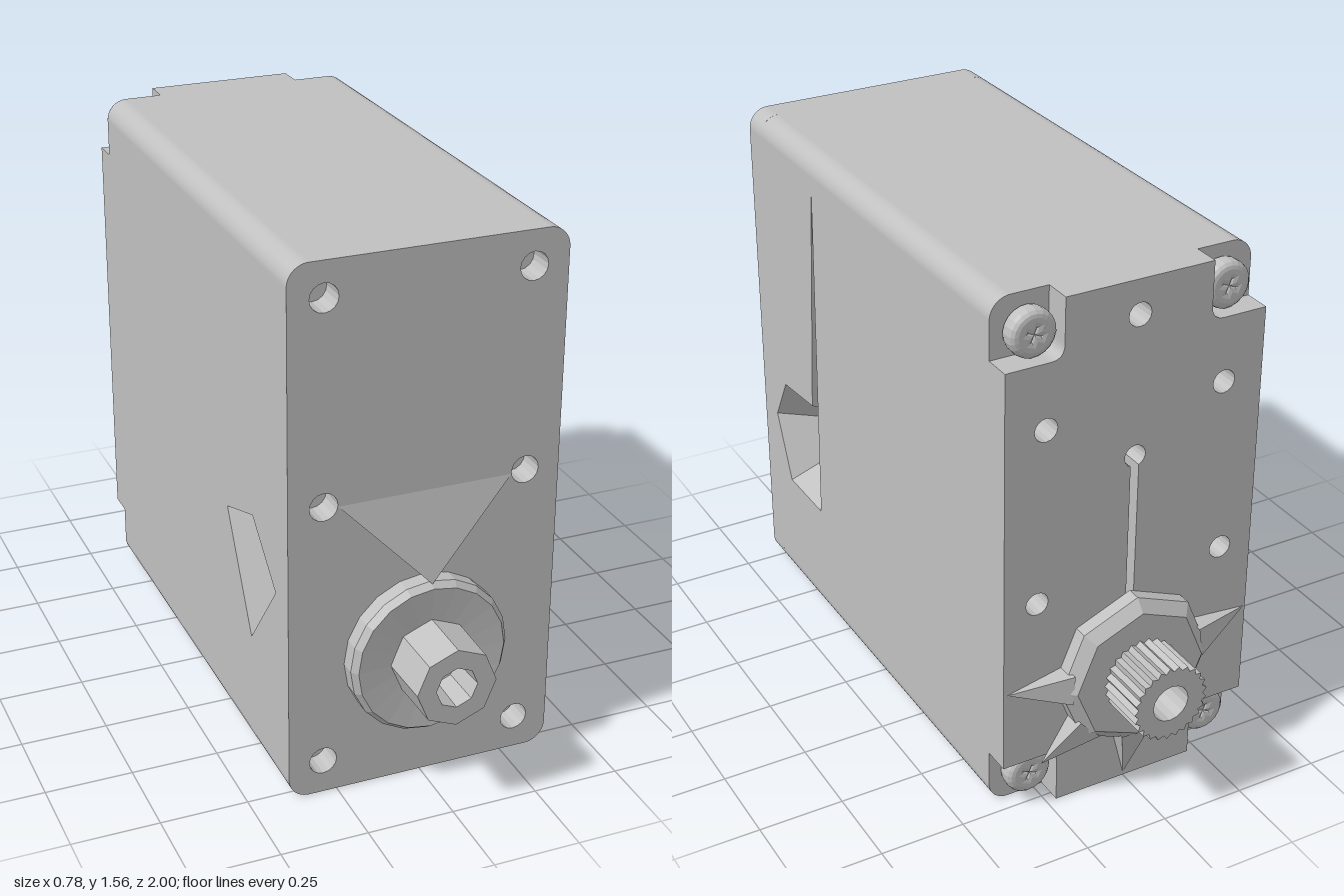
import * as THREE from 'three';

const W = 0.39, H = 1.56, R = 0.06, CORE = 0.70, FACE = 0.78, AXIS = 0.395;

export function createModel() {
  const root = new THREE.Group();
  const grey = new THREE.MeshStandardMaterial({ color: 0xc0c0c0, side: THREE.DoubleSide });
  grey.name = 'casingGrey';

  const add = (name, geo, parent = root) => {
    const mesh = new THREE.Mesh(geo, grey);
    mesh.name = name;
    parent.add(mesh);
    return mesh;
  };
  const faceted = (geo) => {
    const g = geo.index ? geo.toNonIndexed() : geo;
    g.computeVertexNormals();
    return g;
  };
  const poly = (pts) => new THREE.Shape(pts.map(([x, y]) => new THREE.Vector2(x, y)));
  const circle = (x, y, r) => new THREE.Path().absarc(x, y, r, 0, Math.PI * 2);
  const triangles = (tris) => {
    const g = new THREE.BufferGeometry();
    g.setAttribute('position', new THREE.Float32BufferAttribute(tris.flat(2), 3));
    g.computeVertexNormals();
    return g;
  };
  const extrude = (shape, depth, z, curveSegments = 8) => {
    const g = new THREE.ExtrudeGeometry(shape, { depth, bevelEnabled: false, curveSegments });
    return g.translate(0, 0, z);
  };
  // Lathe profile of [radius, z] turned about the shaft axis
  const turned = (profile, sides) => {
    const g = new THREE.LatheGeometry(profile.map(([r, z]) => new THREE.Vector2(r, z)), sides);
    return faceted(g.rotateX(Math.PI / 2).translate(0, AXIS, 0));
  };

  const roundedRect = () => {
    const s = new THREE.Shape();
    s.absarc(W - R, H - R, R, 0, Math.PI / 2);
    s.absarc(-W + R, H - R, R, Math.PI / 2, Math.PI);
    s.absarc(-W + R, R, R, Math.PI, Math.PI * 1.5);
    s.absarc(W - R, R, R, Math.PI * 1.5, Math.PI * 2);
    s.closePath();
    return s;
  };

  // Front slab with six screw holes
  const front = roundedRect();
  for (const x of [-0.29, 0.29]) for (const y of [0.1, 0.88, 1.46]) front.holes.push(circle(x, y, 0.04));
  add('frontCover', extrude(front, FACE - CORE, CORE));

  // End faces of the core, which also close the holes
  for (const [name, z] of [['frontBulkhead', CORE], ['backLedge', -CORE]]) {
    const g = new THREE.ShapeGeometry(roundedRect(), 8);
    if (z < 0) g.rotateY(Math.PI);
    add(name, g.translate(0, 0, z));
  }

  // Side panel with an optional tapered pocket sinking to a small floor
  const panel = (name, x0, y0, x1, y1, pocket, centre) => {
    const group = new THREE.Group();
    group.name = name;
    root.add(group);
    const shape = poly([[x0, y0], [x1, y0], [x1, y1], [x0, y1]]);
    if (pocket) {
      shape.holes.push(poly(pocket));
      const [cx, cy] = centre, k = 0.5, deep = -0.15;
      const inner = pocket.map(([x, y]) => [cx + (x - cx) * k, cy + (y - cy) * k, deep]);
      const tris = [];
      pocket.forEach(([x, y], i) => {
        const j = (i + 1) % pocket.length;
        const a = [x, y, 0], b = [...pocket[j], 0];
        tris.push([a, b, inner[j]], [a, inner[j], inner[i]], [inner[i], inner[j], [cx, cy, deep]]);
      });
      add('pocket', triangles(tris), group);
    }
    add('wall', new THREE.ShapeGeometry(shape), group);
    return group;
  };
  const rightPocket = [[0.69, 0.57], [0.61, 0.71], [0.41, 0.73], [0.345, 1.48], [0.38, 0.37], [0.6, 0.37]];
  const right = panel('positiveSide', -CORE, R, CORE, H - R, rightPocket.map(([z, y]) => [-z, y]), [-0.52, 0.54]);
  right.position.x = W;
  right.rotation.y = Math.PI / 2;
  const left = panel('negativeSide', -CORE, R, CORE, H - R,
    [[0.32, 0.68], [0.5, 0.36], [0.69, 0.6], [0.52, 0.75]], [0.5, 0.58]);
  left.position.x = -W;
  left.rotation.y = -Math.PI / 2;
  const bottom = panel('bottom', -W + R, -CORE, W - R, CORE,
    [[0.285, 0.39], [0.105, 0.6], [-0.17, 0.6], [-0.32, 0.36], [0.25, 0.28]], [0.02, 0.45]);
  bottom.rotation.x = Math.PI / 2;
  const top = panel('top', -W + R, -CORE, W - R, CORE);
  top.position.y = H;
  top.rotation.x = -Math.PI / 2;

  // Rounded long edges
  [[W - R, R], [W - R, H - R], [-W + R, H - R], [-W + R, R]].forEach(([x, y], i) => {
    const g = new THREE.CylinderGeometry(R, R, CORE * 2, 8, 1, true, i * Math.PI / 2, Math.PI / 2);
    add('roundedEdge', g.rotateX(Math.PI / 2).translate(x, y, 0));
  });

  // Back plate notched at the corners, with holes and a keyhole groove
  const n = 0.22, lo = 0.17, hi = H - 0.17, f = 0.04;
  const back = new THREE.Shape();
  back.moveTo(-n, 0).lineTo(n, 0).lineTo(n, lo - f).quadraticCurveTo(n, lo, n + f, lo).lineTo(W, lo);
  back.lineTo(W, hi).lineTo(n + f, hi).quadraticCurveTo(n, hi, n, hi + f).lineTo(n, H);
  back.lineTo(-n, H).lineTo(-n, hi + f).quadraticCurveTo(-n, hi, -n - f, hi).lineTo(-W, hi);
  back.lineTo(-W, lo).lineTo(-n - f, lo).quadraticCurveTo(-n, lo, -n, lo - f).closePath();
  for (const [x, y] of [[0, 1.46], [-0.27, 1.2], [0.27, 1.2], [-0.29, 0.68], [0.29, 0.68]]) {
    back.holes.push(circle(x, y, 0.034));
  }
  const keyhole = new THREE.Path();
  keyhole.absarc(0, 1.05, 0.032, -Math.PI / 2 + 0.4, Math.PI * 1.5 - 0.4);
  keyhole.lineTo(-0.012, 0.56).lineTo(0.012, 0.56).closePath();
  back.holes.push(keyhole);
  add('backPlate', extrude(back, FACE - CORE, -FACE));

  // Corner screws with cross recesses
  const head = new THREE.Shape().absarc(0, 0, 0.048, 0, Math.PI * 2);
  const a = 0.034, b = 0.014;
  head.holes.push(poly([[a, b], [b, b], [b, a], [-b, a], [-b, b], [-a, b],
    [-a, -b], [-b, -b], [-b, -a], [b, -a], [b, -b], [a, -b]]));
  for (const x of [-0.29, 0.29]) for (const y of [0.1, 1.46]) {
    const g = new THREE.ExtrudeGeometry(head, {
      depth: 0.02, bevelEnabled: true, bevelThickness: 0.02, bevelSize: 0.02, bevelOffset: 0, bevelSegments: 3, curveSegments: 10,
    });
    const screw = add('cornerScrew', g);
    screw.position.set(x, y, -0.735);
    screw.rotation.z = 0.4;
  }

  // Front bearing boss and faceted hub with a bore
  add('frontBoss', turned([[0.23, FACE], [0.23, 0.825], [0.215, 0.845], [0.1, 0.835]], 20));
  add('frontHub', turned([[0.118, 0.82], [0.115, 1], [0.06, 1], [0.055, 0.88], [0, 0.87]], 8));

  // Ramp running up from the front boss
  const p = [-0.25, 0.875, FACE + 0.001], q = [0.25, 0.875, FACE + 0.001], tip = [0, 0.62, 0.835], foot = [0, 0.62, FACE];
  add('frontRamp', triangles([[p, tip, q], [p, foot, tip], [q, tip, foot]]));

  // Back boss, with webs sloping down to the plate
  add('backBoss', turned([[0, -0.85], [0.2, -0.85], [0.235, -0.82], [0.235, -FACE]], 8));
  for (const [ang, len] of [[0.05, 0.38], [Math.PI - 0.15, 0.39], [-Math.PI / 2, 0.385], [-0.75, 0.37], [-2.4, 0.37]]) {
    const at = (t, r, z) => [Math.cos(t) * r, AXIS + Math.sin(t) * r, z];
    const l = at(ang + 0.22, 0.21, -0.84), r = at(ang - 0.22, 0.21, -0.84);
    const l0 = at(ang + 0.22, 0.21, -FACE), r0 = at(ang - 0.22, 0.21, -FACE), end = at(ang, len, -FACE);
    add('bossWeb', triangles([[l, end, r], [l, l0, end], [r, end, r0]]));
  }

  // Splined output shaft with a bore
  const teeth = [];
  for (let i = 0; i < 50; i++) {
    const t = i * Math.PI / 25, r = i % 2 ? 0.103 : 0.115;
    teeth.push([Math.cos(t) * r, Math.sin(t) * r]);
  }
  const spline = poly(teeth);
  spline.holes.push(circle(0, 0, 0.055));
  add('outputShaft', extrude(spline, 0.16, -1).translate(0, AXIS, 0));

  return root;
}
